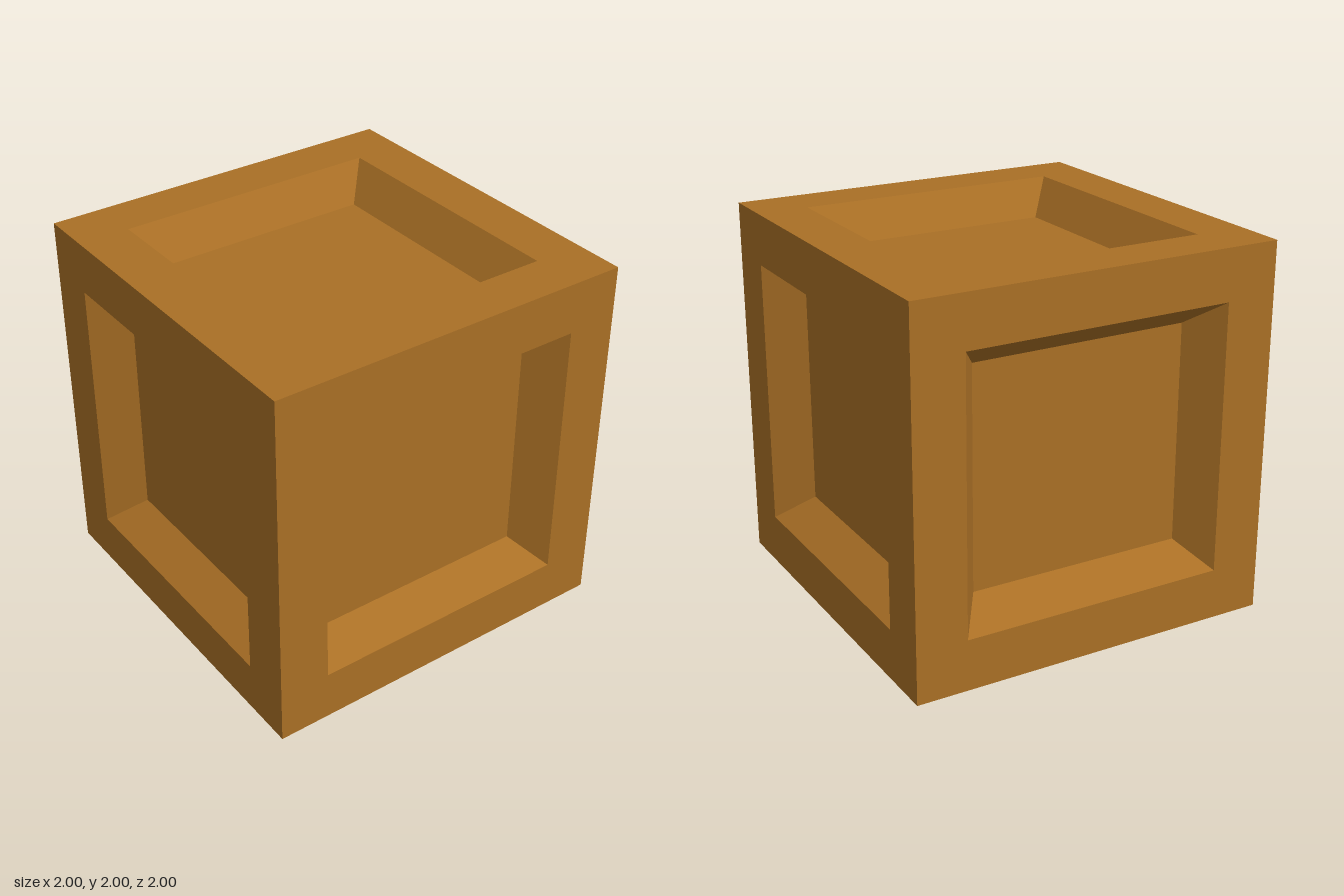
import * as THREE from 'three';
import { mergeGeometries } from 'three/addons/utils/BufferGeometryUtils.js';

const HALF = 1;       // half the crate's width
const OPEN = 0.725;   // half the opening in each frame
const INNER = 0.59;   // half the sunken panel
const DEPTH = 0.19;   // how far the panel is sunk

function squarePoints(h) {
  return [[-h, -h], [h, -h], [h, h], [-h, h]].map(([x, y]) => new THREE.Vector2(x, y));
}

// One sloping trapezoid from the opening's lower edge down to the panel
function slopeGeometry() {
  const geometry = new THREE.BufferGeometry();
  geometry.setAttribute('position', new THREE.Float32BufferAttribute([
    -OPEN, -OPEN, 0, OPEN, -OPEN, 0,
    INNER, -INNER, -DEPTH, -INNER, -INNER, -DEPTH,
  ], 3));
  geometry.setIndex([0, 1, 2, 0, 2, 3]);
  geometry.computeVertexNormals();
  return geometry;
}

export function createModel() {
  const wood = new THREE.MeshStandardMaterial({ color: 0xa96f25 });
  wood.name = 'wood';

  // Square frame with its opening
  const frameShape = new THREE.Shape(squarePoints(HALF));
  frameShape.holes.push(new THREE.Path(squarePoints(OPEN).reverse()));
  const frameGeometry = new THREE.ShapeGeometry(frameShape);

  // Four slopes around the opening
  const bevelGeometry = mergeGeometries(
    [0, 1, 2, 3].map((i) => slopeGeometry().rotateZ(i * Math.PI / 2)));

  // Sunken panel
  const panelGeometry = new THREE.PlaneGeometry(INNER * 2, INNER * 2).translate(0, 0, -DEPTH);

  const parts = { Frame: frameGeometry, Bevel: bevelGeometry, Panel: panelGeometry };

  // Six identical sides, turned outwards about the crate's centre
  const q = Math.PI / 2;
  const sides = [
    ['front', 0, 0], ['left', 0, q], ['back', 0, 2 * q], ['right', 0, -q],
    ['top', -q, 0], ['bottom', q, 0],
  ];
  const crate = new THREE.Group();
  crate.name = 'crate';
  for (const [name, rx, ry] of sides) {
    const side = new THREE.Group();
    side.name = name + 'Side';
    side.rotation.set(rx, ry, 0);
    side.position.set(0, 0, HALF).applyEuler(side.rotation);
    side.position.y += HALF;
    for (const [part, geometry] of Object.entries(parts)) {
      const mesh = new THREE.Mesh(geometry, wood);
      mesh.name = name + part;
      side.add(mesh);
    }
    crate.add(side);
  }
  return crate;
}
